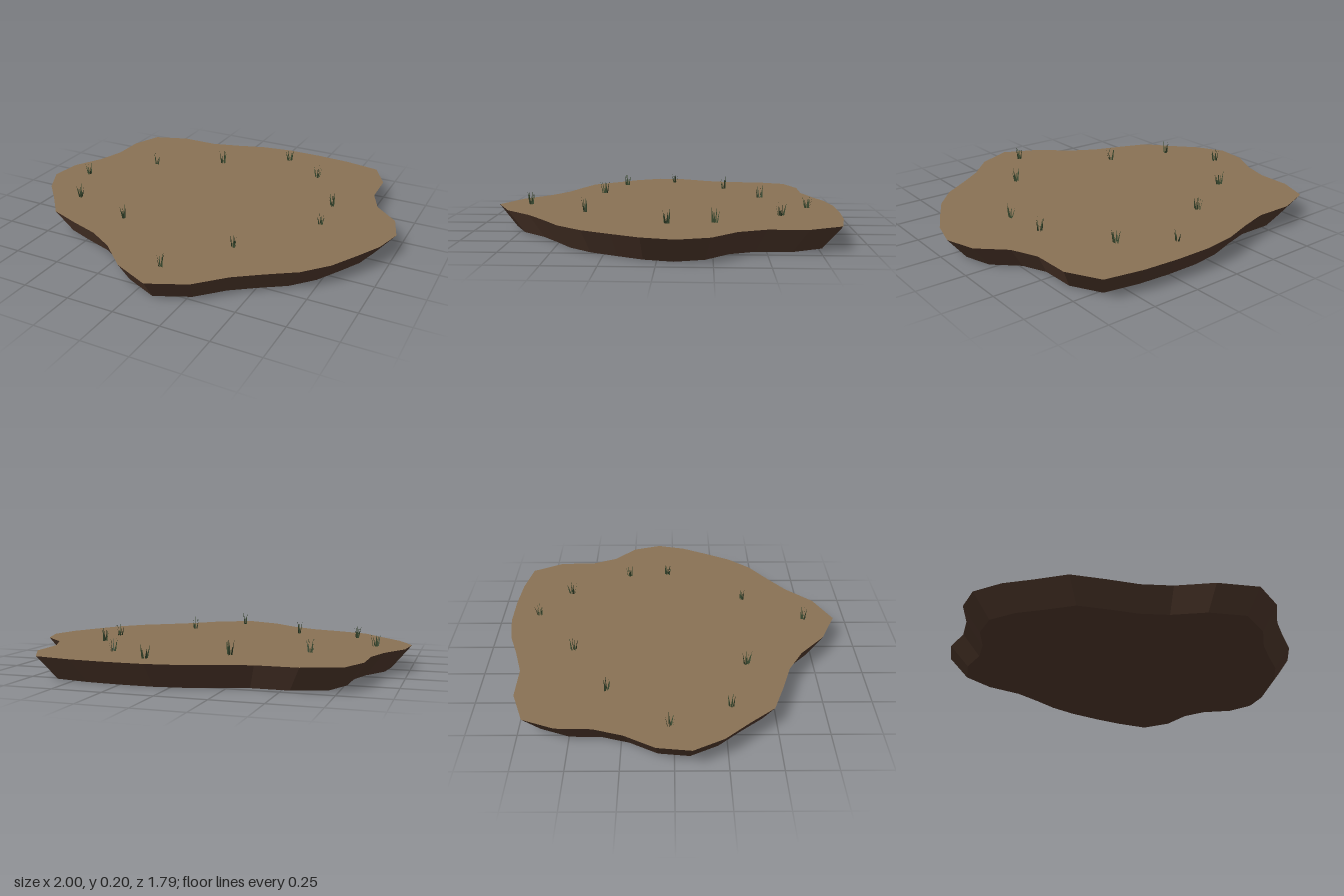
import * as THREE from 'three';

const HEIGHT = 0.12, BASE_SCALE = 0.9;

// Rim of the slab, as x, z
const RIM = [
  [0.665, -0.853], [0.755, -0.69], [0.76, -0.495], [0.82, -0.36], [0.95, -0.24], [1, -0.085],
  [0.96, 0.07], [0.89, 0.205], [0.81, 0.35], [0.7, 0.475], [0.56, 0.57], [0.43, 0.665],
  [0.295, 0.805], [0.105, 0.893], [-0.09, 0.805], [-0.24, 0.67], [-0.38, 0.59], [-0.535, 0.54],
  [-0.7, 0.48], [-0.81, 0.35], [-0.92, 0.23], [-1, 0.08], [-0.98, -0.085], [-0.895, -0.235],
  [-0.85, -0.38], [-0.845, -0.555], [-0.78, -0.715], [-0.595, -0.78], [-0.39, -0.78],
  [-0.23, -0.825], [-0.08, -0.875], [0.09, -0.9], [0.285, -0.9], [0.47, -0.888],
];

// Grass tuft positions, as x, z
const TUFTS = [
  [0.15, -0.75], [0.39, -0.59], [-0.2, -0.525], [-0.55, -0.33], [0.595, -0.26], [-0.825, -0.02],
  [0.62, -0.03], [-0.685, 0.27], [-0.335, 0.375], [0.32, 0.4], [0.095, 0.725],
];

function seeded(seed) {
  return () => (seed = (seed * 16807) % 2147483647) / 2147483647;
}

function triangles(points) {
  const g = new THREE.BufferGeometry();
  g.setAttribute('position', new THREE.Float32BufferAttribute(points, 3));
  g.computeVertexNormals();
  return g;
}

// Flat face bounded by the rim; sign 1 faces up, -1 faces down
function cap(scale, sign) {
  const shape = new THREE.Shape(RIM.map(([x, z]) => new THREE.Vector2(x * scale, -sign * z * scale)));
  return new THREE.ShapeGeometry(shape).rotateX(-sign * Math.PI / 2);
}

// Faceted side wall tapering towards the base
function wall() {
  const p = [];
  RIM.forEach(([ax, az], i) => {
    const [bx, bz] = RIM[(i + 1) % RIM.length], s = BASE_SCALE;
    const ta = [ax, HEIGHT, az], tb = [bx, HEIGHT, bz];
    const ba = [ax * s, 0, az * s], bb = [bx * s, 0, bz * s];
    p.push(...ta, ...tb, ...bb, ...ta, ...bb, ...ba);
  });
  return triangles(p);
}

// Clump of thin pointed blades leaning outwards
function tuft(rand) {
  const p = [], blades = 6;
  for (let i = 0; i < blades; i++) {
    const a = (i + rand() * 0.8) / blades * Math.PI * 2;
    const r = 0.004 + rand() * 0.01, lean = 0.005 + rand() * 0.013;
    const h = 0.05 + rand() * 0.03, w = 0.005, turn = rand() * Math.PI;
    const x = Math.cos(a) * r, z = Math.sin(a) * r;
    const dx = Math.cos(turn) * w, dz = Math.sin(turn) * w;
    p.push(x - dx, 0, z - dz, x + dx, 0, z + dz, x + Math.cos(a) * lean, h, z + Math.sin(a) * lean);
  }
  return triangles(p);
}

export function createModel() {
  const model = new THREE.Group();
  model.name = 'groundPatch';

  const soil = new THREE.MeshStandardMaterial({ color: 0x8b7355, name: 'dry soil' });
  const earth = new THREE.MeshStandardMaterial({ color: 0x5a4032, name: 'dark earth', flatShading: true });
  const grass = new THREE.MeshStandardMaterial({ color: 0x3a4a30, name: 'grass', side: THREE.DoubleSide });

  const add = (name, geometry, material, x = 0, y = 0, z = 0) => {
    const mesh = new THREE.Mesh(geometry, material);
    mesh.name = name;
    mesh.position.set(x, y, z);
    model.add(mesh);
  };

  add('topSurface', cap(1, 1), soil, 0, HEIGHT, 0);
  add('sideWall', wall(), earth);
  add('underside', cap(BASE_SCALE, -1), earth);

  const rand = seeded(71);
  TUFTS.forEach(([x, z], i) => add(`grassTuft${i + 1}`, tuft(rand), grass, x, HEIGHT, z));
  return model;
}
